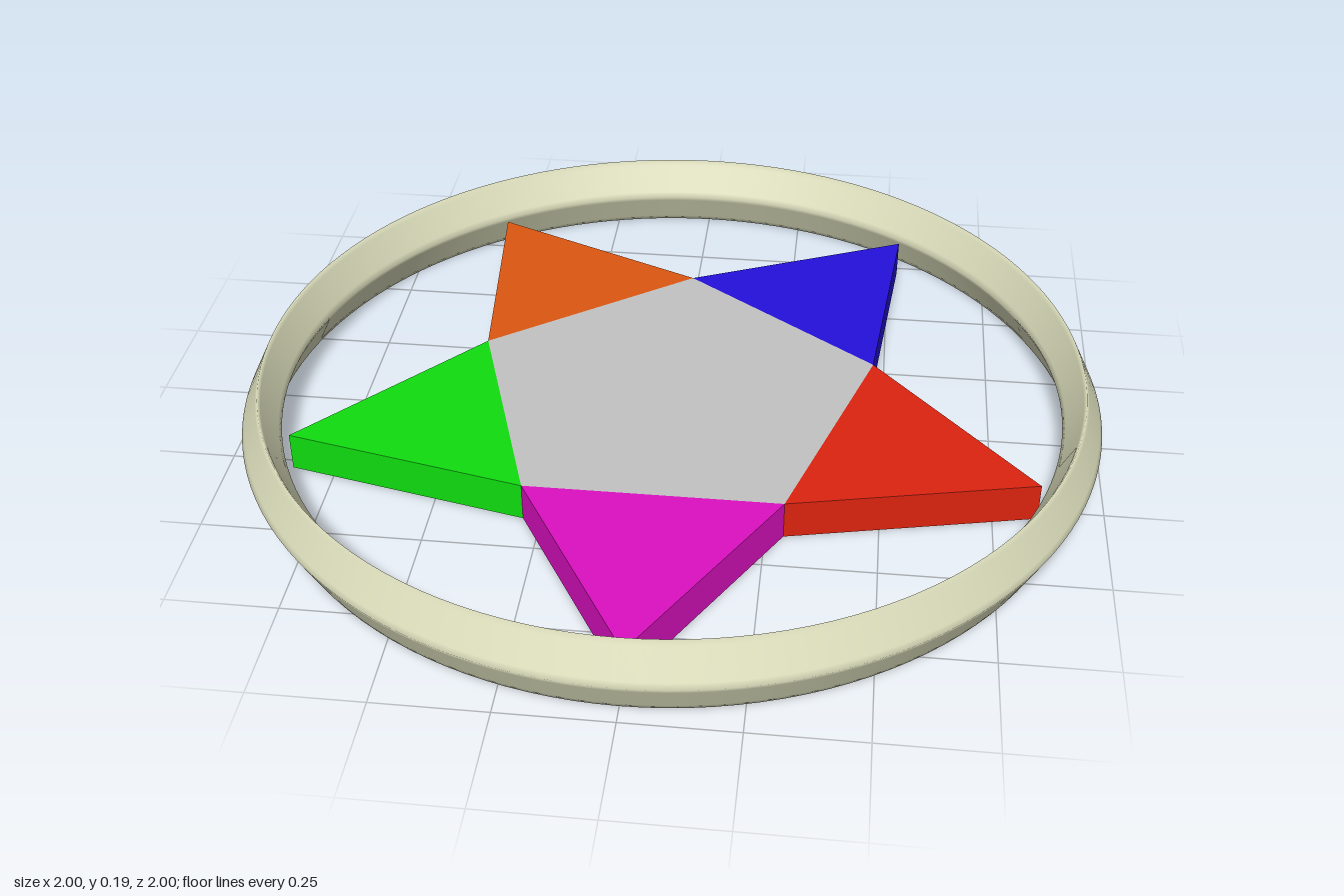
import * as THREE from 'three';

const mat = (name, color, side = THREE.FrontSide) => {
  const m = new THREE.MeshStandardMaterial({ color, side });
  m.name = name;
  return m;
};

const MID = 0.0925;      // half the ring height, also the star thickness
const INNER = 0.495;     // pentagon corner radius
const TIP = 0.895;       // star tip radius

// Flat outline in (x, z), extruded upward from y = 0
function prism(name, points, material) {
  const shape = new THREE.Shape(points.map(([x, z]) => new THREE.Vector2(x, -z)));
  const geo = new THREE.ExtrudeGeometry(shape, { depth: MID, bevelEnabled: false });
  geo.rotateX(-Math.PI / 2);
  const mesh = new THREE.Mesh(geo, material);
  mesh.name = name;
  return mesh;
}

// Point at an angle measured from the front (+z) towards +x
const polar = (r, a) => [r * Math.sin(a), r * Math.cos(a)];

// Diamond-section ring; extra points by each corner keep its softening narrow
function makeRing() {
  const corners = [[1, MID], [0.955, 2 * MID], [0.91, MID], [0.955, 0]]
    .map(([r, y]) => new THREE.Vector2(r, y));
  const profile = [corners[3].clone().lerp(corners[0], 0.5)];
  corners.forEach((c, i) => {
    const prev = corners[(i + 3) % 4], next = corners[(i + 1) % 4];
    profile.push(c.clone().lerp(prev, 0.14), c, c.clone().lerp(next, 0.14));
  });
  profile.push(profile[0].clone());
  const ring = new THREE.Mesh(new THREE.LatheGeometry(profile, 128), mat('cream', 0xdcdebc));
  ring.name = 'ring';
  return ring;
}

export function createModel() {
  const group = new THREE.Group();
  group.name = 'starInRing';
  group.add(makeRing());

  // Central pentagon, one flat side towards the front
  const step = (Math.PI * 2) / 5;
  const corner = (i) => polar(INNER, (i - 0.5) * step);
  group.add(prism('centre', [0, 1, 2, 3, 4].map(corner), mat('grey', 0xc2c2c2)));

  // Five coloured points, going round from the front towards +x
  const arms = [
    ['magenta', 0xdc10c0], ['red', 0xdc2410], ['blue', 0x2410dc],
    ['orange', 0xdc5610], ['green', 0x10dc10],
  ];
  arms.forEach(([name, color], i) => {
    group.add(prism(name + 'Point', [corner(i), polar(TIP, i * step), corner(i + 1)], mat(name, color)));
  });
  return group;
}
